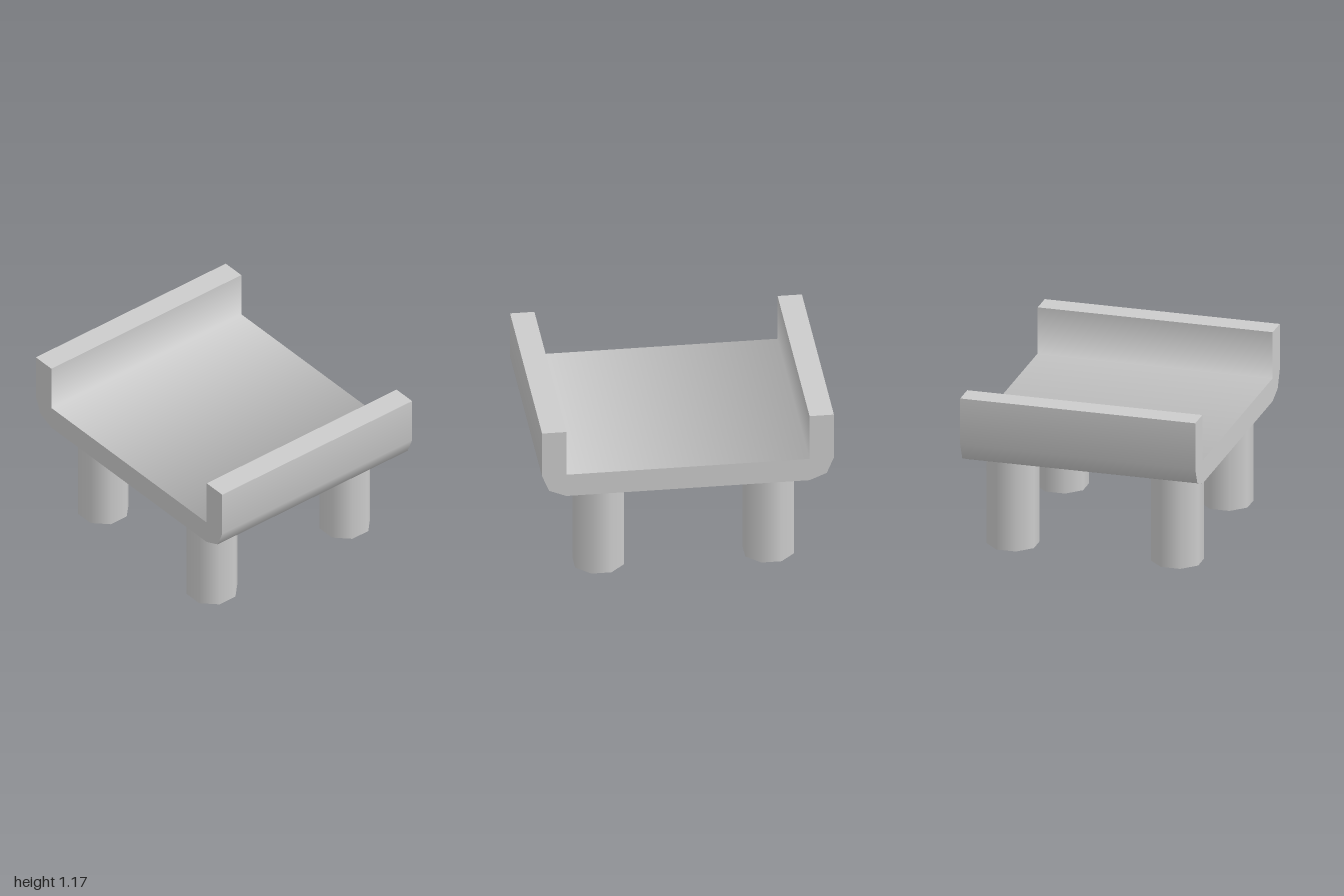
import * as THREE from 'three';
import { mergeGeometries } from 'three/addons/utils/BufferGeometryUtils.js';

const DEPTH = 1.667, TOP = 1.167, FLOOR = 0.833, BOTTOM = 0.667, THICK = 0.167;

// Sweeps a profile line along z, with normals smoothed between its segments
function ribbon(points) {
  const position = [], normal = [], index = [];
  const segmentNormals = points.slice(1).map((p, i) =>
    new THREE.Vector2(p.y - points[i].y, points[i].x - p.x).normalize());
  points.forEach((p, i) => {
    const before = segmentNormals[Math.max(i - 1, 0)];
    const after = segmentNormals[Math.min(i, segmentNormals.length - 1)];
    const n = before.clone().add(after).normalize();
    for (const z of [-DEPTH / 2, DEPTH / 2]) {
      position.push(p.x, p.y, z);
      normal.push(n.x, n.y, 0);
    }
    if (i < points.length - 1) {
      const a = 2 * i;
      index.push(a, a + 2, a + 1, a + 2, a + 3, a + 1);
    }
  });
  const geometry = new THREE.BufferGeometry();
  geometry.setAttribute('position', new THREE.Float32BufferAttribute(position, 3));
  geometry.setAttribute('normal', new THREE.Float32BufferAttribute(normal, 3));
  geometry.setIndex(index);
  return geometry;
}

// Flat end of the tray, facing +z or -z
function endCap(shape, side) {
  const geometry = new THREE.ShapeGeometry(shape);
  geometry.deleteAttribute('uv');
  if (side < 0) geometry.rotateY(Math.PI); // the profile is symmetric in x
  return geometry.translate(0, 0, side * DEPTH / 2);
}

function trayGeometry() {
  const v = (x, y) => new THREE.Vector2(x, y);
  const inX = 1 - THICK;
  // Outer skin: wall, two-step rounded corner, underside
  const half = [v(-1, TOP)];
  for (let i = 0; i <= 2; i++) {
    const a = i * Math.PI / 4;
    half.push(v(-inX - THICK * Math.cos(a), FLOOR - (FLOOR - BOTTOM) * Math.sin(a)));
  }
  const outer = [...half, ...half.map(p => v(-p.x, p.y)).reverse()];
  // Inner skin: walls and floor
  const inner = [v(inX, TOP), v(inX, FLOOR), v(-inX, FLOOR), v(-inX, TOP)];
  const shape = new THREE.Shape([...outer, ...inner]);
  return mergeGeometries([
    ribbon(outer),
    ribbon([outer[outer.length - 1], inner[0]]),
    ribbon(inner),
    ribbon([inner[3], outer[0]]),
    endCap(shape, 1),
    endCap(shape, -1),
  ]);
}

export function createModel() {
  const model = new THREE.Group();
  const material = new THREE.MeshStandardMaterial({ color: 0xcccccc });

  const tray = new THREE.Mesh(trayGeometry(), material);
  tray.name = 'tray';
  model.add(tray);

  // Four octagonal legs, flats facing the sides
  const radius = 0.167 / Math.cos(Math.PI / 8);
  const legGeometry = new THREE.CylinderGeometry(radius, radius, BOTTOM, 8)
    .rotateY(Math.PI / 8);
  for (const [xName, x] of [['Left', 0.583], ['Right', -0.583]]) {
    for (const [zName, z] of [['front', 0.583], ['back', -0.583]]) {
      const leg = new THREE.Mesh(legGeometry, material);
      leg.name = `${zName}${xName}Leg`;
      leg.position.set(x, BOTTOM / 2, z);
      model.add(leg);
    }
  }
  return model;
}
